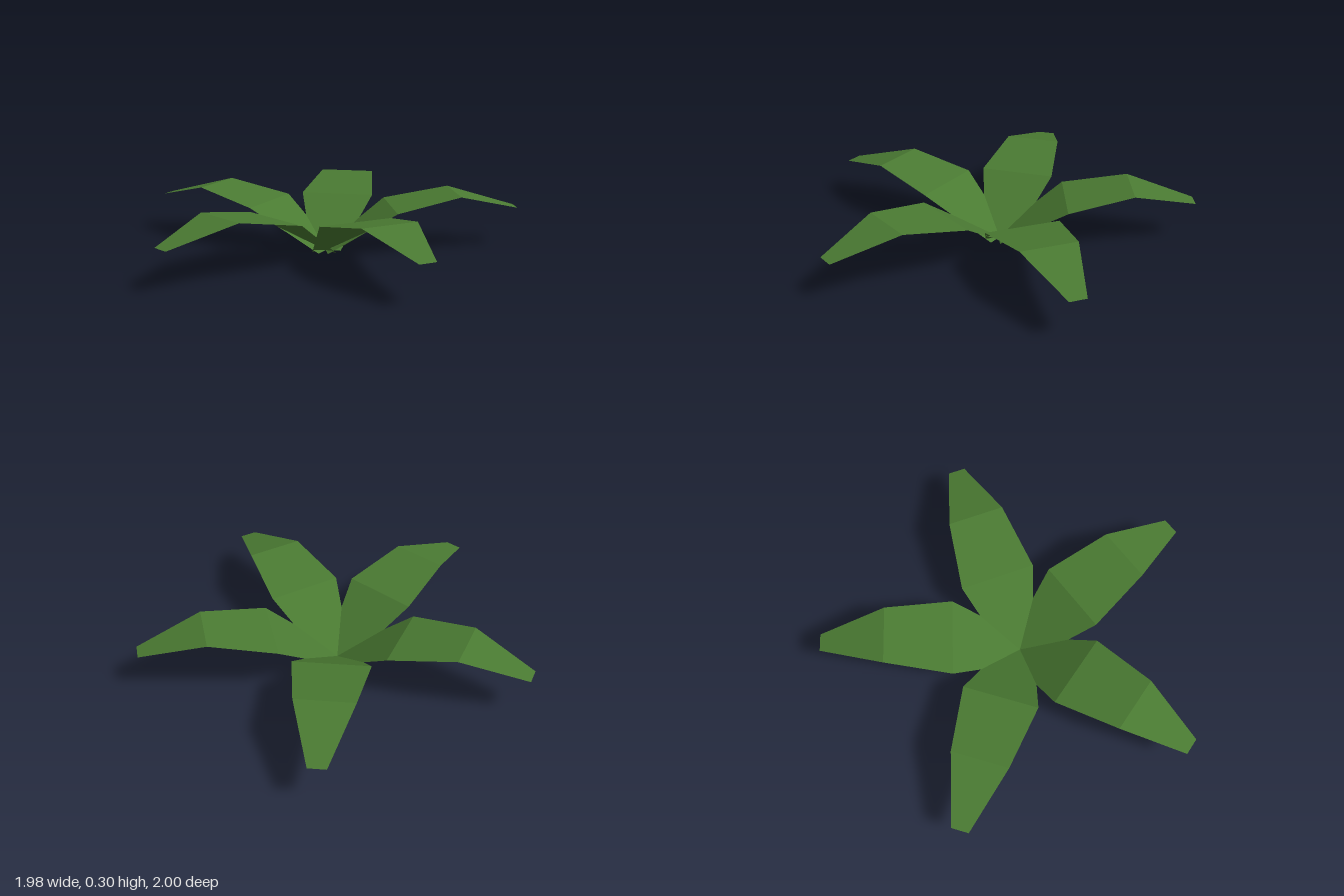
import * as THREE from 'three';

// Leaf cross-sections from base to tip: [distance out, height, half width]
const SECTIONS = [
  [0, 0, 0.08],
  [0.35, 0.235, 0.2],
  [0.7, 0.302, 0.15],
  [1.045, 0.21, 0.045],
];

// A flat strip bent along the sections, growing out along +z
function leafGeometry() {
  const geometry = new THREE.PlaneGeometry(1, 1, 1, SECTIONS.length - 1);
  const position = geometry.attributes.position;
  for (let i = 0; i < position.count; i++) {
    const [out, height, halfWidth] = SECTIONS[Math.floor(i / 2)];
    position.setXYZ(i, i % 2 ? halfWidth : -halfWidth, height, out);
  }
  geometry.computeVertexNormals();
  return geometry;
}

export function createModel() {
  const group = new THREE.Group();
  group.name = 'leafRosette';

  const leafGreen = new THREE.MeshStandardMaterial({
    color: 0x4a7a32, flatShading: true, side: THREE.DoubleSide,
  });
  leafGreen.name = 'leaf green';

  // Five equal leaves fanned around the shared root
  const geometry = leafGeometry();
  for (let i = 0; i < 5; i++) {
    const leaf = new THREE.Mesh(geometry, leafGreen);
    leaf.name = `leaf${i + 1}`;
    leaf.position.set(-0.05, 0, -0.04);
    leaf.rotation.y = THREE.MathUtils.degToRad(82 - i * 72);
    group.add(leaf);
  }
  return group;
}
